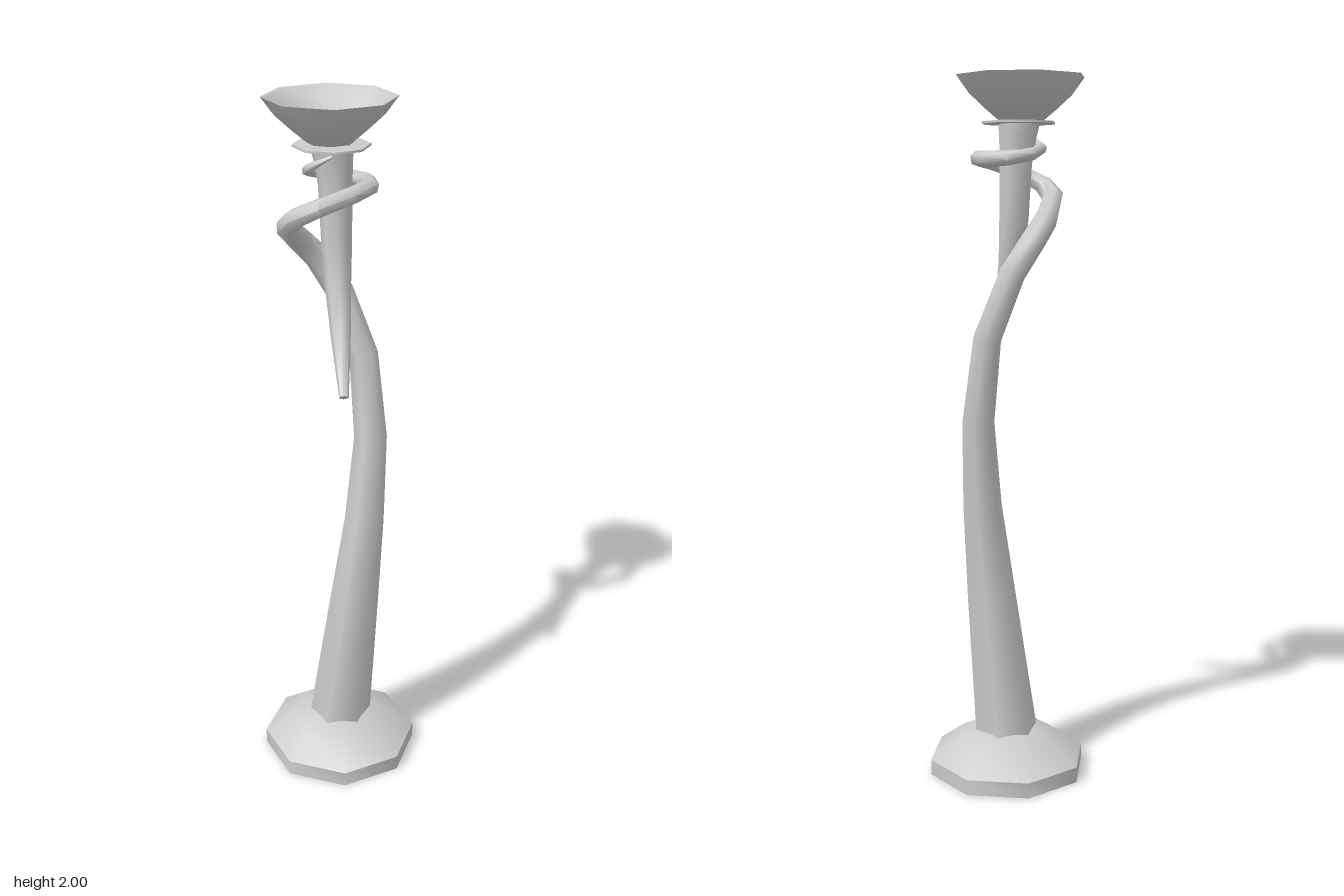
import * as THREE from 'three';
import { toCreasedNormals } from 'three/addons/utils/BufferGeometryUtils.js';

const material = new THREE.MeshStandardMaterial({ color: 0xcccccc, side: THREE.DoubleSide });

function addMesh(group, name, geometry, x = 0, y = 0, z = 0) {
  const mesh = new THREE.Mesh(geometry, material);
  mesh.name = name;
  mesh.position.set(x, y, z);
  group.add(mesh);
}

// Eight-sided turned shape from [radius, height] pairs
function turned(profile, crease = 0.85) {
  const points = profile.map(([r, y]) => new THREE.Vector2(r, y));
  return toCreasedNormals(new THREE.LatheGeometry(points, 8), crease);
}

// Tapering tube through [x, y, z, radius] stations, closed at both ends
function taperedTube(stations, sides) {
  const centers = stations.map(([x, y, z]) => new THREE.Vector3(x, y, z));
  const last = centers.length - 1;
  const positions = [], index = [];
  const normal = new THREE.Vector3(1, 0, 0);
  centers.forEach((center, i) => {
    const before = centers[Math.max(i - 1, 0)], after = centers[Math.min(i + 1, last)];
    const a = center.clone().sub(before).normalize();
    const tangent = after.clone().sub(center).normalize().add(a).normalize();
    normal.addScaledVector(tangent, -normal.dot(tangent)).normalize();
    const binormal = normal.clone().cross(tangent);
    for (let j = 0; j < sides; j++) {
      const t = (j / sides) * Math.PI * 2;
      const p = center.clone()
        .addScaledVector(normal, Math.cos(t) * stations[i][3])
        .addScaledVector(binormal, Math.sin(t) * stations[i][3]);
      positions.push(p.x, p.y, p.z);
    }
  });
  for (let i = 0; i < last; i++) {
    for (let j = 0; j < sides; j++) {
      const k = (j + 1) % sides;
      const a = i * sides + j, b = i * sides + k;
      index.push(a, a + sides, b, b, a + sides, b + sides);
    }
  }
  // End caps
  const top = last * sides;
  for (let j = 1; j < sides - 1; j++) {
    index.push(0, j, j + 1, top, top + j + 1, top + j);
  }
  const geometry = new THREE.BufferGeometry();
  geometry.setAttribute('position', new THREE.Float32BufferAttribute(positions, 3));
  geometry.setIndex(index);
  return toCreasedNormals(geometry, 1.15);
}

export function createModel() {
  const group = new THREE.Group();

  // Hollow domed foot
  addMesh(group, 'base', turned([
    [0.232, 0], [0.232, 0.045], [0.15, 0.105], [0.085, 0.127], [0, 0.135],
  ]), 0, 0, 0.005);

  // Stem rising and curling like a tendril around the horn
  addMesh(group, 'stem', taperedTube([
    [0, 0.07, 0.007, 0.095],
    [0.003, 0.13, 0.008, 0.092],
    [0.042, 0.53, 0.025, 0.072],
    [0.071, 0.8, 0.016, 0.057],
    [0.089, 1.05, -0.01, 0.047],
    [0.07, 1.29, -0.04, 0.041],
    [0.005, 1.47, -0.068, 0.038],
    [-0.055, 1.565, -0.078, 0.036],
    [-0.1, 1.62, -0.045, 0.034],
    [-0.14, 1.68, 0.03, 0.031],
    [-0.125, 1.715, 0.078, 0.028],
    [-0.06, 1.75, 0.104, 0.025],
    [0.025, 1.775, 0.08, 0.024],
    [0.08, 1.783, 0.02, 0.023],
    [0.078, 1.78, -0.045, 0.022],
    [0.025, 1.782, -0.098, 0.021],
    [-0.04, 1.793, -0.095, 0.019],
    [-0.082, 1.81, -0.05, 0.016],
    [-0.075, 1.83, 0, 0.012],
    [-0.02, 1.862, 0.022, 0.004],
  ], 6), 0, 0, 0);

  // Pointed horn below the cup
  addMesh(group, 'horn', taperedTube([
    [0, 1.248, 0.162, 0.013],
    [0, 1.375, 0.045, 0.027],
    [-0.003, 1.5, -0.024, 0.036],
    [-0.005, 1.62, -0.047, 0.042],
    [-0.008, 1.77, -0.055, 0.046],
    [-0.013, 1.84, -0.056, 0.053],
    [-0.018, 1.9, -0.057, 0.063],
  ], 8));

  // Thin collar under the cup
  addMesh(group, 'collar', turned([
    [0.045, 1.872], [0.104, 1.874], [0.104, 1.88], [0.045, 1.882],
  ]), -0.018, 0, -0.045);

  // Flared cup with a thin rim and hollow bowl
  addMesh(group, 'cup', turned([
    [0, 1.875], [0.06, 1.88], [0.1, 1.912], [0.145, 1.952], [0.181, 2],
    [0.167, 1.996], [0.135, 1.955], [0.09, 1.92], [0, 1.905],
  ]), -0.021, 0, -0.058);

  return group;
}
